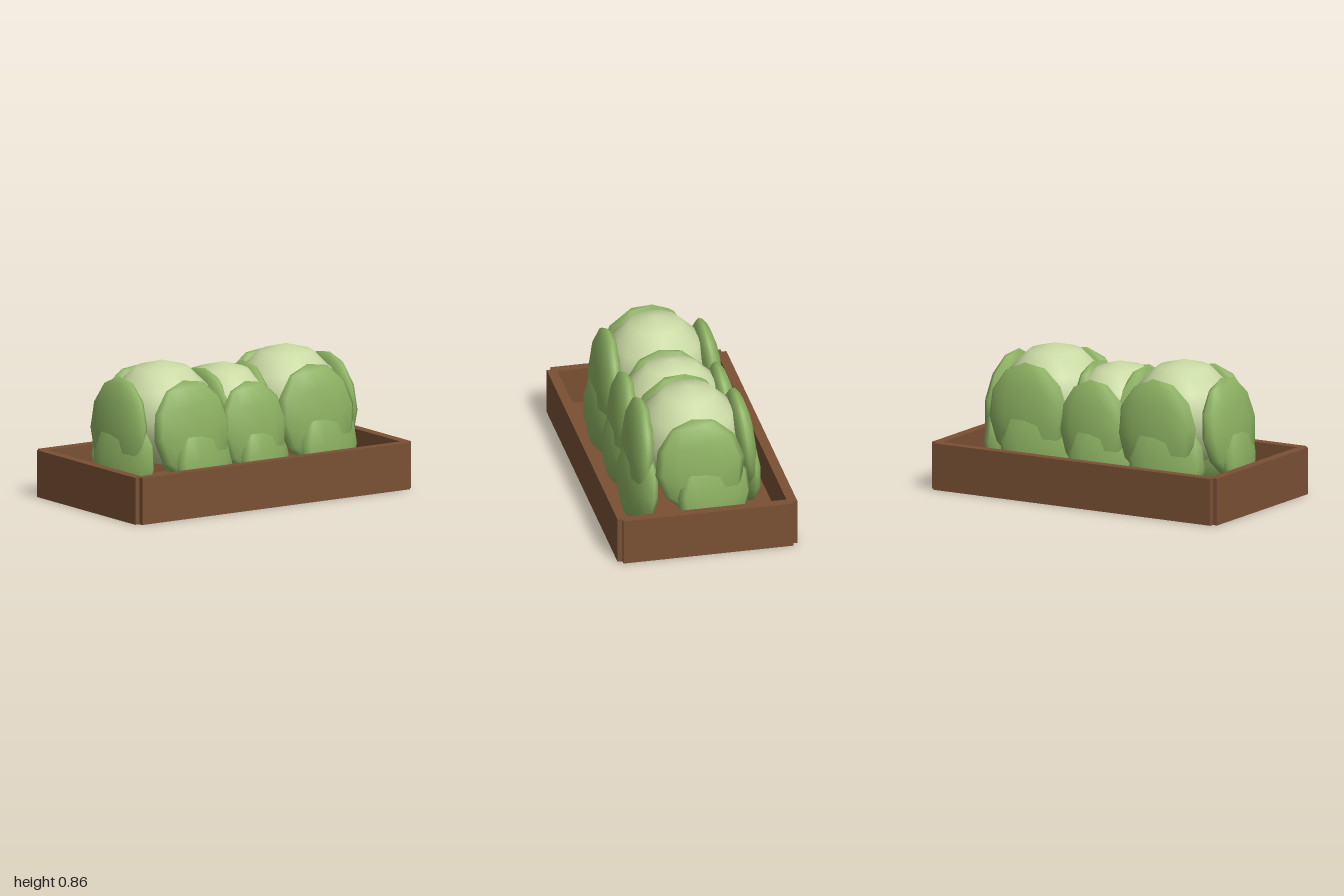
import * as THREE from 'three';

const mat = (name, color) => {
  const m = new THREE.MeshStandardMaterial({ color });
  m.name = name;
  return m;
};

export function createModel() {
  const wood = mat('brown wood', 0x7a5034);
  const leafGreen = mat('leaf green', 0x8db262);
  const heartGreen = mat('pale heart green', 0xcadaa4);

  const model = new THREE.Group();
  model.name = 'cabbageCrate';

  // Crate: floor plus overlapping side and end boards, notched at the corners
  const crate = new THREE.Group();
  crate.name = 'crate';
  const board = (name, w, h, d, x, z) => {
    const mesh = new THREE.Mesh(new THREE.BoxGeometry(w, h, d), wood);
    mesh.name = name;
    mesh.position.set(x, h / 2, z);
    crate.add(mesh);
  };
  board('crateFloor', 1.94, 0.06, 1.04, 0, 0);
  for (const s of [-1, 1]) {
    board('longBoard', 1.94, 0.285, 0.06, 0, s * 0.52);
    board('endBoard', 0.06, 0.285, 1.04, s * 0.97, 0);
  }
  model.add(crate);

  // Low-poly smooth ellipsoids for hearts and leaves
  const heartGeo = new THREE.SphereGeometry(0.32, 14, 6);
  const leafGeo = new THREE.SphereGeometry(1, 12, 6);

  // A leaf leans inward at its top, rolls a little, and is turned around the heart
  const addLeaf = (parent, name, yaw, dist, y, size, lean, roll) => {
    const pivot = new THREE.Group();
    pivot.name = name;
    pivot.rotation.y = yaw;
    const mesh = new THREE.Mesh(leafGeo, leafGreen);
    mesh.name = name + 'Blade';
    mesh.scale.set(...size);
    mesh.position.set(0, y, dist);
    mesh.rotation.set(-lean, 0, roll);
    pivot.add(mesh);
    parent.add(pivot);
  };

  // Cabbage: pale heart, four upright leaves and four lower outer leaves
  const addCabbage = (x, scale) => {
    const cabbage = new THREE.Group();
    cabbage.name = 'cabbage';
    const heart = new THREE.Mesh(heartGeo, heartGreen);
    heart.name = 'heart';
    heart.position.y = 0.54;
    cabbage.add(heart);
    for (let i = 0; i < 4; i++) {
      const turn = i * Math.PI / 2;
      addLeaf(cabbage, 'innerLeaf', turn, 0.312, 0.48, [0.275, 0.308, 0.082], 0.09, 0.14);
      addLeaf(cabbage, 'outerLeaf', turn + 0.24, 0.342, 0.29, [0.24, 0.275, 0.078], 0.07, -0.1);
    }
    cabbage.position.x = x;
    cabbage.scale.set(...scale);
    model.add(cabbage);
  };
  addCabbage(-0.45, [1, 1, 1]);
  addCabbage(0, [0.86, 0.93, 0.98]);
  addCabbage(0.45, [1, 1, 1]);

  return model;
}
